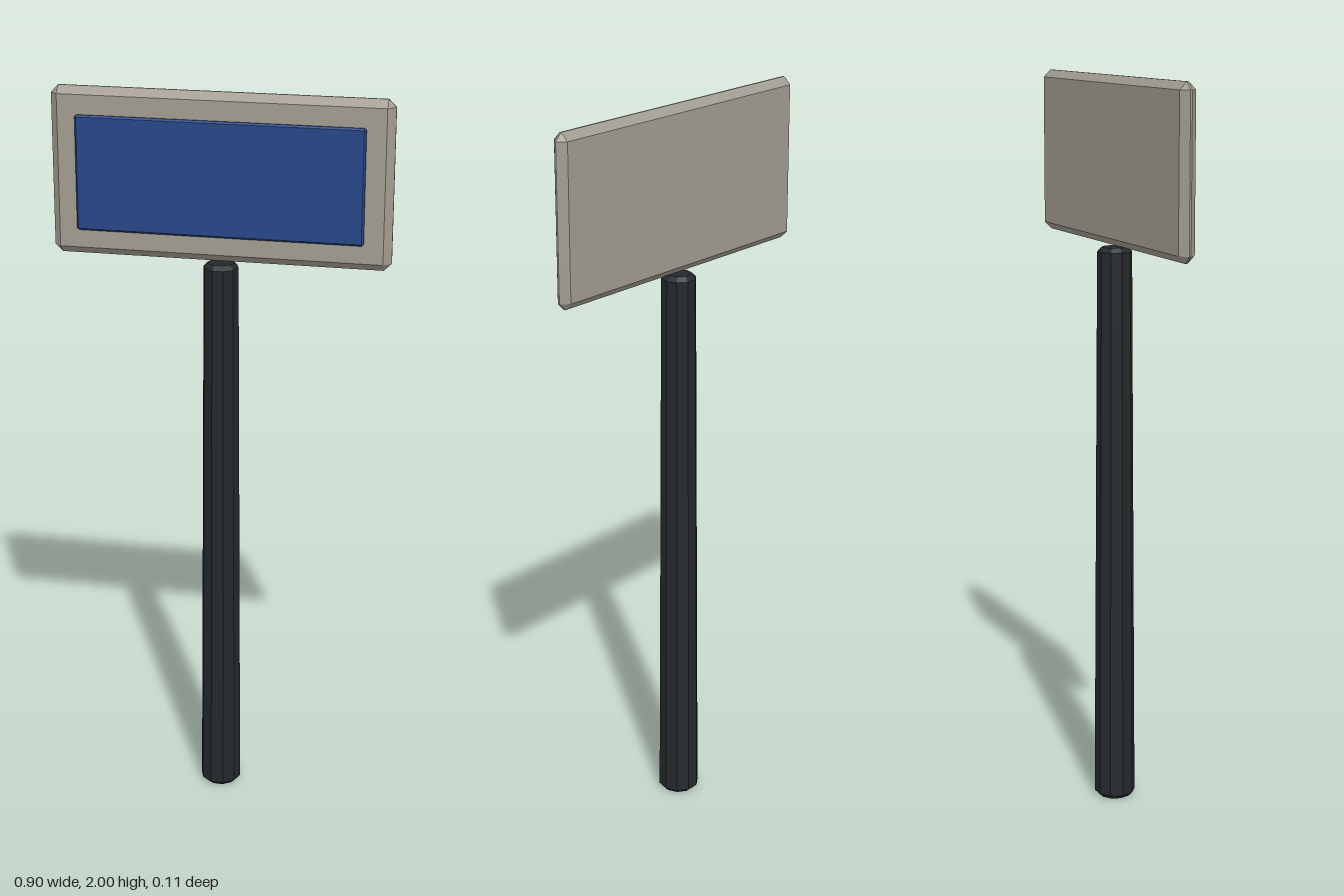
import * as THREE from 'three';
import { ConvexGeometry } from 'three/addons/geometries/ConvexGeometry.js';

const paint = (color) => new THREE.MeshStandardMaterial({ color, flatShading: true });

// Box with every edge cut by a chamfer of size b; w, h, d are full sizes
function chamferBox(w, h, d, b) {
  const [x, y, z] = [w / 2, h / 2, d / 2];
  const points = [];
  for (const sx of [-1, 1]) for (const sy of [-1, 1]) for (const sz of [-1, 1]) {
    points.push(
      new THREE.Vector3(sx * x, sy * (y - b), sz * (z - b)),
      new THREE.Vector3(sx * (x - b), sy * y, sz * (z - b)),
      new THREE.Vector3(sx * (x - b), sy * (y - b), sz * z)
    );
  }
  return new ConvexGeometry(points);
}

export function createModel() {
  const model = new THREE.Group();
  model.name = 'signpost';

  const add = (name, geometry, color, x, y, z) => {
    const mesh = new THREE.Mesh(geometry, paint(color));
    mesh.name = name;
    mesh.position.set(x, y, z);
    model.add(mesh);
    return mesh;
  };

  // Ten-sided tapering pole with chamfered ends
  const profile = [[0, 0], [0.044, 0], [0.0565, 0.012], [0.047, 1.538], [0.035, 1.55], [0, 1.55]]
    .map(([r, y]) => new THREE.Vector2(r, y));
  const pole = add('pole', new THREE.LatheGeometry(profile, 10), 0x24292c, 0, 0, 0);
  pole.rotation.y = Math.PI / 2;

  // Sign board with wide chamfers, resting on the pole
  add('board', chamferBox(0.9, 0.445, 0.045, 0.02), 0xa39d92, 0, 1.7775, 0);

  // Thin blue face panel in front of the board
  add('facePanel', chamferBox(0.76, 0.305, 0.013, 0.005), 0x274788, 0, 1.7775, 0.0315);

  return model;
}
